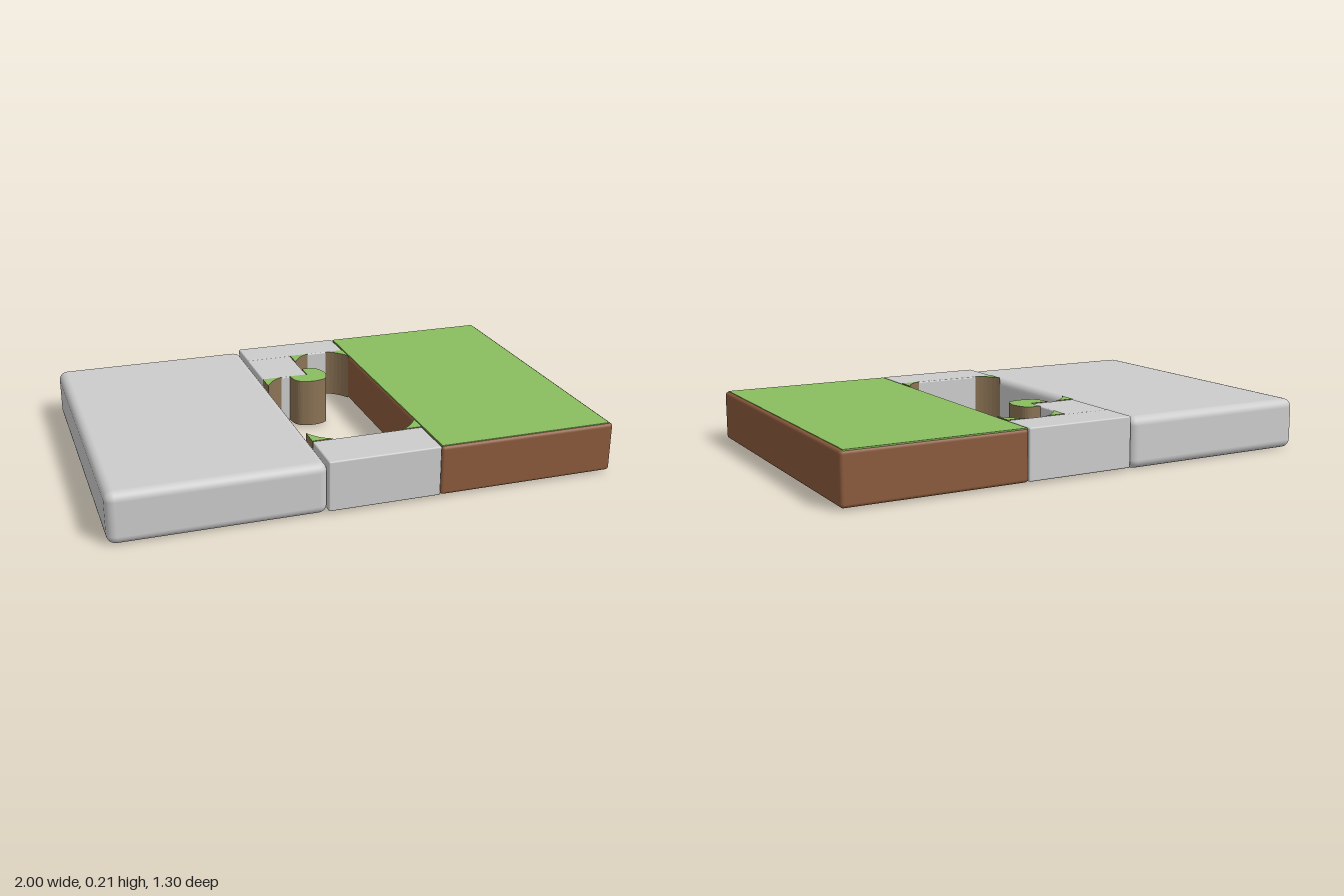
import * as THREE from 'three';
import { RoundedBoxGeometry } from 'three/addons/geometries/RoundedBoxGeometry.js';

const mat = (name, color) => {
  const m = new THREE.MeshStandardMaterial({ color });
  m.name = name;
  return m;
};

export function createModel() {
  const stone = mat('stone grey', 0xcccccc);
  const soil = mat('soil brown', 0x8b5a3c);
  const grass = mat('grass green', 0x8abd5f);
  const earth = mat('earth tan', 0x8b7355);
  const group = new THREE.Group();

  const add = (name, geometry, material) => {
    const mesh = new THREE.Mesh(geometry, material);
    mesh.name = name;
    group.add(mesh);
  };

  // Rounded box given by its lower and upper corners
  const block = (name, material, [x0, y0, z0], [x1, y1, z1], radius) => {
    const g = new RoundedBoxGeometry(x1 - x0, y1 - y0, z1 - z0, 3, radius);
    g.translate((x0 + x1) / 2, (y0 + y1) / 2, (z0 + z1) / 2);
    add(name, g, material);
  };

  // Upright prism from a plan outline in x and z: grass caps, earth walls
  const bank = (name, shape) => {
    const g = new THREE.ExtrudeGeometry(shape, { depth: 0.203, bevelEnabled: false, curveSegments: 6 });
    g.rotateX(Math.PI / 2);
    g.translate(0, 0.213, 0);
    add(name, g, [grass, earth]);
  };

  // Large slabs on either side
  block('stoneSlab', stone, [-1, 0, -0.65], [-0.18, 0.205, 0.65], 0.035);
  block('soilSlab', soil, [0.268, 0.008, -0.65], [1, 0.209, 0.65], 0.014);

  // Grass sheet on the soil slab
  const turf = new THREE.BoxGeometry(0.712, 0.006, 1.284);
  turf.translate(0.63, 0.2085, -0.002);
  add('grassTop', turf, grass);

  // Stone links framing the opening
  block('backLink', stone, [-0.18, 0.01, -0.65], [0.268, 0.212, -0.49], 0.006);
  block('frontLink', stone, [-0.18, 0.01, 0.45], [0.268, 0.212, 0.65], 0.006);
  block('innerBlock', stone, [-0.18, 0.01, -0.495], [0.018, 0.211, -0.24], 0.005);

  // Curved banks in the corners of the opening: x, z, inward directions
  const corners = [
    [-0.18, 0.45, 1, -1], [0.268, 0.45, -1, -1], [0.268, -0.49, -1, 1],
    [0.018, -0.49, 1, 1], [-0.18, -0.24, 1, 1],
  ];
  for (const [x, z, sx, sz] of corners) {
    const s = new THREE.Shape();
    s.moveTo(x, z);
    s.lineTo(x + sx * 0.082, z);
    s.quadraticCurveTo(x + sx * 0.03, z + sz * 0.022, x, z + sz * 0.082);
    bank('cornerBank', s);
  }

  // Rounded bank wrapping the free corner of the inner block
  const s = new THREE.Shape();
  s.moveTo(0.018, -0.24);
  s.lineTo(0.018, -0.312);
  s.lineTo(0.055, -0.31);
  s.quadraticCurveTo(0.085, -0.305, 0.093, -0.265);
  s.quadraticCurveTo(0.105, -0.235, 0.093, -0.205);
  s.quadraticCurveTo(0.088, -0.165, 0.055, -0.16);
  s.quadraticCurveTo(0.02, -0.148, -0.015, -0.16);
  s.quadraticCurveTo(-0.05, -0.168, -0.055, -0.205);
  s.lineTo(-0.06, -0.24);
  bank('roundBank', s);

  return group;
}
